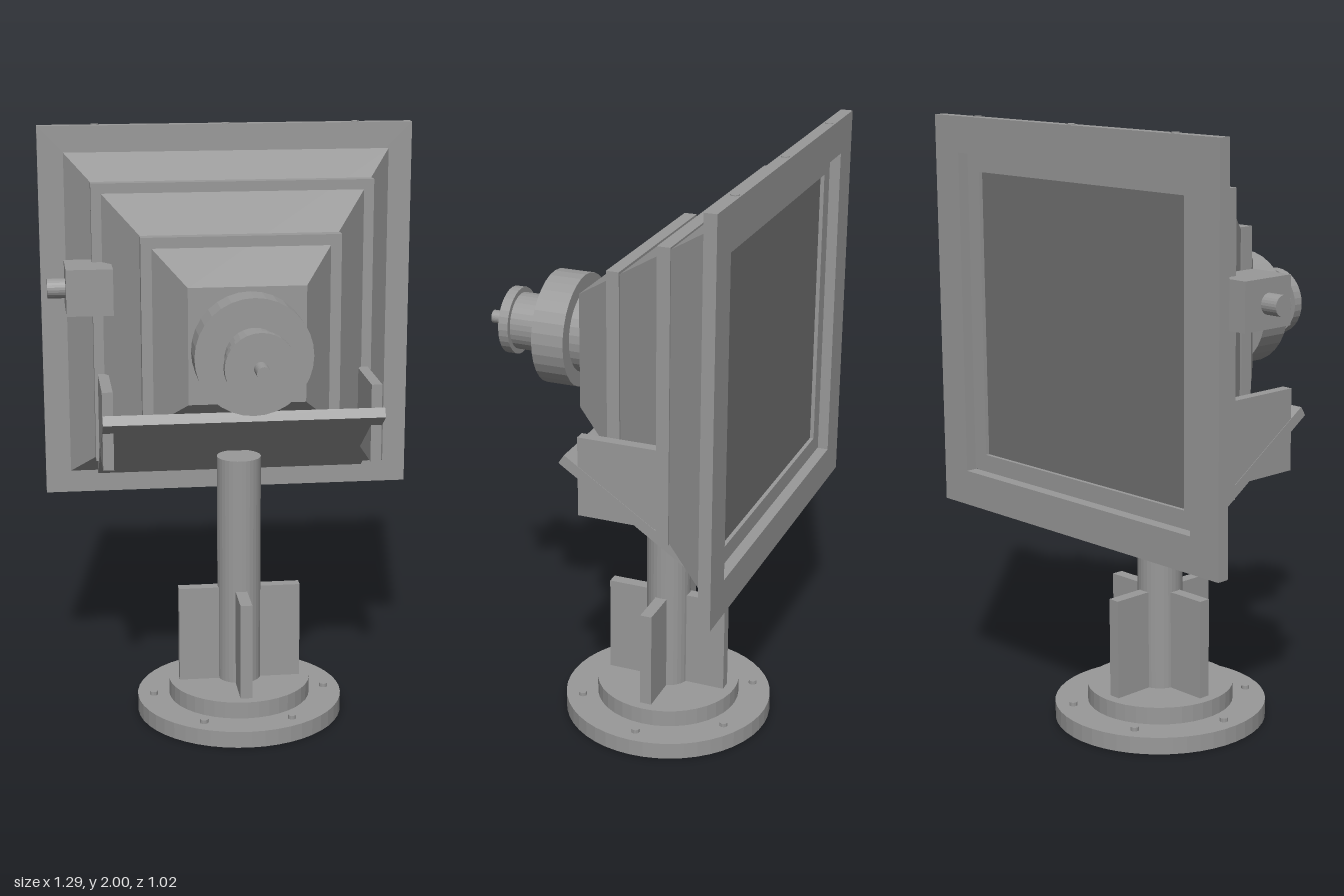
import * as THREE from 'three';

export function createModel() {
  const model = new THREE.Group();
  const grey = new THREE.MeshStandardMaterial({ color: 0x999999, flatShading: true });
  grey.name = 'metalGrey';
  const dark = new THREE.MeshStandardMaterial({ color: 0x707070, flatShading: true });
  dark.name = 'paneGrey';

  const CY = 1.35; // height of the horn axis
  const PZ = -0.125; // z of the post axis

  function add(name, geometry, x, y, z, material = grey) {
    const mesh = new THREE.Mesh(geometry, material);
    mesh.name = name;
    mesh.position.set(x, y, z);
    model.add(mesh);
    return mesh;
  }
  const box = (name, w, h, d, x, y, z, material) =>
    add(name, new THREE.BoxGeometry(w, h, d), x, y, z, material);
  // Upright cylinder from y0 to y1
  const upright = (name, r, y0, y1, x, z, sides = 32) =>
    add(name, new THREE.CylinderGeometry(r, r, y1 - y0, sides), x, (y0 + y1) / 2, z);
  // Cylinder on the horn axis from z0 to z1
  const axial = (name, r, z0, z1) =>
    add(name, new THREE.CylinderGeometry(r, r, z1 - z0, 32).rotateX(Math.PI / 2), 0, CY, (z0 + z1) / 2);
  // Square ring from z0 to z1
  function squareRing(name, outer, inner, z0, z1) {
    const square = (P, s) => new P([[-s, -s], [s, -s], [s, s], [-s, s]].map(([x, y]) => new THREE.Vector2(x, y)));
    const shape = square(THREE.Shape, outer);
    shape.holes.push(square(THREE.Path, inner));
    const geometry = new THREE.ExtrudeGeometry(shape, { depth: z1 - z0, bevelEnabled: false });
    return add(name, geometry, 0, CY, z0);
  }

  // Base: flange, step, bolts
  upright('baseFlange', 0.355, 0, 0.057, 0, PZ, 48);
  upright('baseStep', 0.245, 0.057, 0.115, 0, PZ, 40);
  for (let i = 0; i < 6; i++) {
    const a = (i * Math.PI) / 3;
    upright('baseBolt', 0.014, 0.05, 0.07, 0.3 * Math.cos(a), PZ + 0.3 * Math.sin(a), 12);
  }

  // Post with four fins
  upright('post', 0.075, 0.115, 0.915, 0, PZ);
  for (const s of [-1, 1]) {
    box('sideFin', 0.15, 0.335, 0.04, s * 0.135, 0.2825, PZ);
    box('crossFin', 0.04, 0.335, 0.15, 0, 0.2825, PZ + s * 0.135);
  }

  // Cradle: sloping plate and two cheeks
  const plate = box('cradlePlate', 0.935, 0.035, 0.515, 0, 0.956, -0.16);
  plate.rotation.x = -0.585;
  for (const s of [-1, 1]) box('cradleCheek', 0.036, 0.265, 0.265, s * 0.448, 1.0475, -0.1325);

  // Tapered horn body with two square bands
  const horn = new THREE.CylinderGeometry(0.192 * Math.SQRT2, 0.56 * Math.SQRT2, 0.552, 4);
  horn.rotateY(Math.PI / 4).rotateX(Math.PI / 2);
  add('hornBody', horn, 0, CY, -0.164);
  box('frontBand', 0.66, 0.66, 0.042, 0, CY, -0.062);
  box('rearBand', 0.955, 0.955, 0.042, 0, CY, -0.286);

  // Rear frame, recessed collar and pane
  squareRing('rearFrame', 0.647, 0.53, -0.51, -0.47);
  squareRing('rearCollar', 0.527, 0.47, -0.475, -0.438);
  box('rearPane', 0.942, 0.942, 0.02, 0, CY, -0.452, dark);
  for (const x of [-0.45, 0, 0.45]) upright('frameBolt', 0.014, 1.99, 2, x, -0.49, 12);

  // Stepped drum at the front
  const steps = [
    ['drumNeck', 0.095, 0.11, 0.135],
    ['drumCollar', 0.14, 0.133, 0.175],
    ['drum', 0.189, 0.173, 0.284],
    ['drumBarrel', 0.095, 0.284, 0.407],
    ['drumCap', 0.112, 0.406, 0.44],
    ['drumPin', 0.022, 0.44, 0.51],
  ];
  for (const step of steps) axial(...step);

  // Side box with a short shaft
  box('sideBox', 0.155, 0.155, 0.198, -0.4925, 1.487, -0.224);
  const shaft = new THREE.CylinderGeometry(0.033, 0.033, 0.065, 24).rotateZ(Math.PI / 2);
  add('sideShaft', shaft, -0.5975, 1.487, -0.222);

  return model;
}
